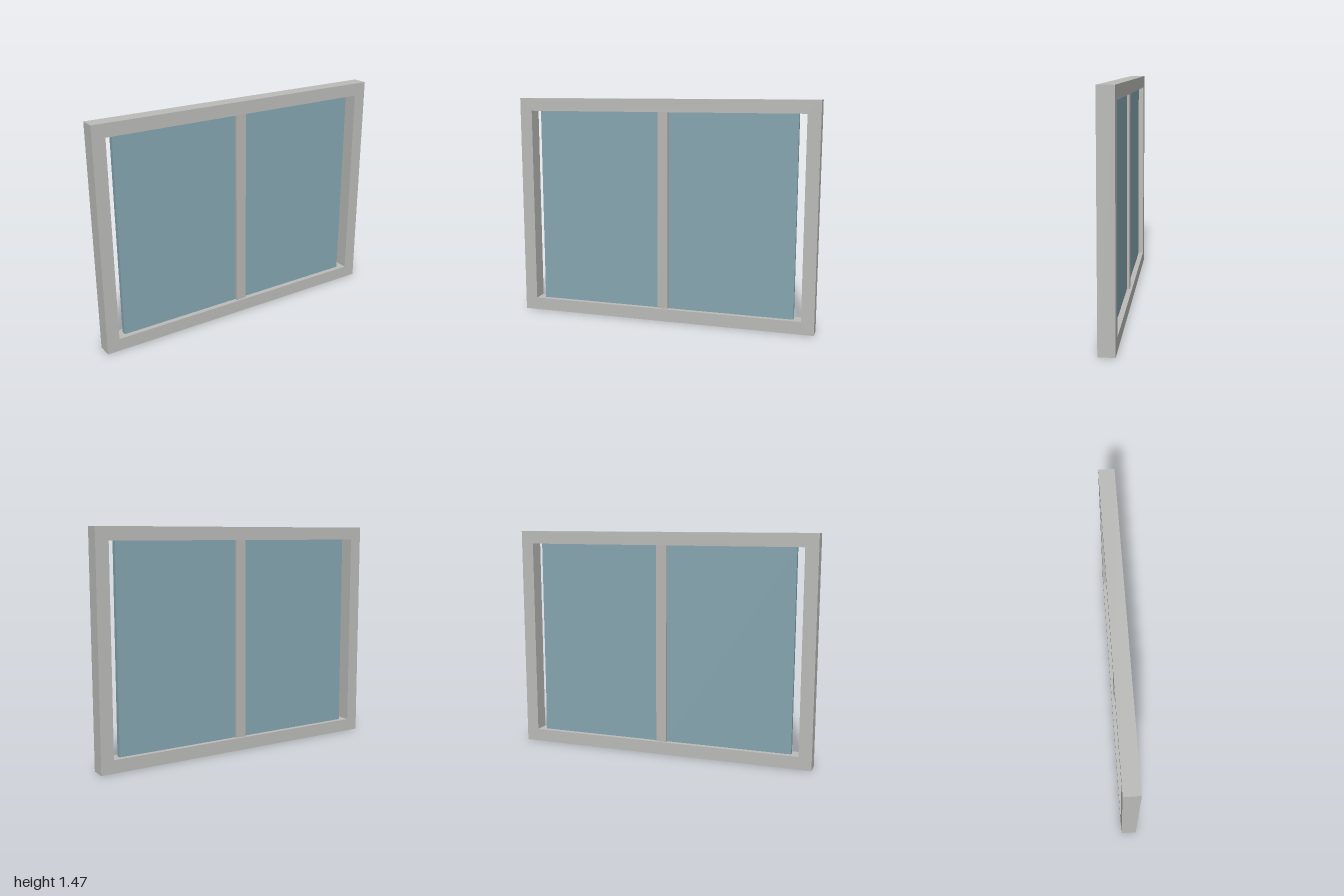
import * as THREE from 'three';

const W = 2, H = 1.465, DEPTH = 0.1; // outer frame
const BORDER = 0.083;                // frame bar width
const MULLION = 0.07;                // centre bar width
const GLASS_EDGE = 0.865;            // outer edge of each pane

export function createModel() {
  const model = new THREE.Group();
  model.name = 'window';

  const frameMat = new THREE.MeshStandardMaterial({ name: 'frame grey', color: 0xbbbbb9 });
  const mullionMat = new THREE.MeshStandardMaterial({ name: 'mullion warm grey', color: 0xbab7b4 });
  const glassMat = new THREE.MeshStandardMaterial({ name: 'glass blue', color: 0x86a6b1 });

  const add = (name, geometry, material, x, y, z) => {
    const mesh = new THREE.Mesh(geometry, material);
    mesh.name = name;
    mesh.position.set(x, y, z);
    model.add(mesh);
  };

  // Outer frame: rectangle with a rectangular opening
  const rect = (path, x, y) =>
    path.moveTo(-x, -y).lineTo(x, -y).lineTo(x, y).lineTo(-x, y).closePath();
  const outline = rect(new THREE.Shape(), W / 2, H / 2);
  outline.holes.push(rect(new THREE.Path(), W / 2 - BORDER, H / 2 - BORDER));
  const frame = new THREE.ExtrudeGeometry(outline, { depth: DEPTH, bevelEnabled: false });
  add('frame', frame, frameMat, 0, H / 2, -DEPTH / 2);

  // Centre bar, proud of the glass on both faces
  const innerH = H - 2 * BORDER;
  add('mullion', new THREE.BoxGeometry(MULLION, innerH, 0.067), mullionMat, 0, H / 2, 0);

  // Two panes, stopping short of the side bars
  const paneW = GLASS_EDGE - MULLION / 2;
  for (const [name, side] of [['leftPane', 1], ['rightPane', -1]]) {
    add(name, new THREE.BoxGeometry(paneW, innerH, 0.033), glassMat,
      side * (MULLION / 2 + paneW / 2), H / 2, 0);
  }

  return model;
}
